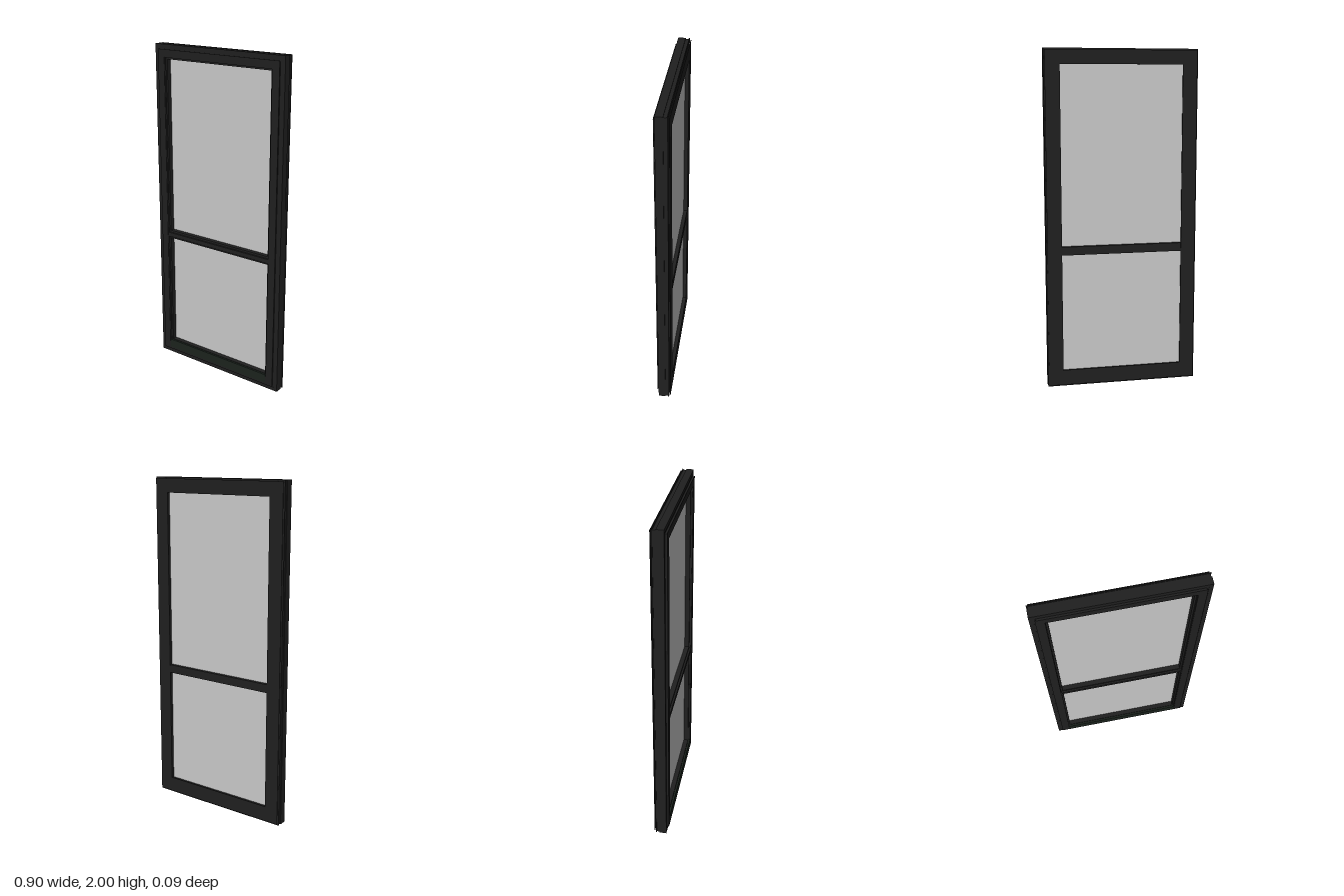
import * as THREE from 'three';

const dark = new THREE.MeshStandardMaterial({ color: 0x202020 });
const sillDark = new THREE.MeshStandardMaterial({ color: 0x1c241e });
const pane = new THREE.MeshStandardMaterial({ color: 0xcccccc });

function rect(target, x, y0, y1) {
  target.moveTo(-x, y0);
  target.lineTo(x, y0);
  target.lineTo(x, y1);
  target.lineTo(-x, y1);
  target.closePath();
  return target;
}

export function createModel() {
  const model = new THREE.Group();

  // Rectangular ring: outer and inner are [halfWidth, bottom, top]
  function ring(name, outer, inner, z0, z1) {
    const shape = rect(new THREE.Shape(), ...outer);
    shape.holes.push(rect(new THREE.Path(), ...inner));
    const geometry = new THREE.ExtrudeGeometry(shape, { depth: z1 - z0, bevelEnabled: false });
    const mesh = new THREE.Mesh(geometry, dark);
    mesh.position.z = z0;
    mesh.name = name;
    model.add(mesh);
  }

  function box(name, halfWidth, y0, y1, z0, z1, material = dark) {
    const mesh = new THREE.Mesh(new THREE.BoxGeometry(halfWidth * 2, y1 - y0, z1 - z0), material);
    mesh.position.set(0, (y0 + y1) / 2, (z0 + z1) / 2);
    mesh.name = name;
    model.add(mesh);
  }

  const opening = [0.365, 0.095, 1.915];

  // Outer frame with a shallow groove around its edge
  ring('outerFrameFront', [0.452, 0, 2], [0.43, 0.022, 1.978], -0.012, 0.03);
  ring('outerFrameGroove', [0.448, 0.004, 1.996], [0.43, 0.022, 1.978], -0.03, -0.012);
  ring('outerFrameBack', [0.452, 0, 2], [0.43, 0.022, 1.978], -0.035, -0.03);

  // Sash with thin cover lips on both faces
  ring('sash', [0.43, 0.022, 1.978], opening, -0.041, 0.028);
  ring('sashFrontStep', [0.42, 0.032, 1.968], [0.375, 0.085, 1.925], 0.028, 0.038);
  ring('sashFrontLip', [0.424, 0.028, 1.972], [0.378, 0.082, 1.928], 0.038, 0.041);
  ring('sashBackLip', [0.446, 0.008, 1.992], [0.36, 0.1, 1.91], -0.044, -0.041);

  // Bottom rail face
  box('bottomRail', 0.375, 0.04, 0.094, 0.03, 0.0415, sillDark);

  // Crossbar with a raised middle on the front
  box('crossbar', 0.366, 0.805, 0.855, -0.042, 0.028);
  box('crossbarFace', 0.377, 0.817, 0.843, 0.028, 0.039);

  // Two panes
  box('lowerPane', 0.37, 0.09, 0.81, -0.02, 0, pane);
  box('upperPane', 0.37, 0.85, 1.92, -0.02, 0, pane);

  return model;
}
